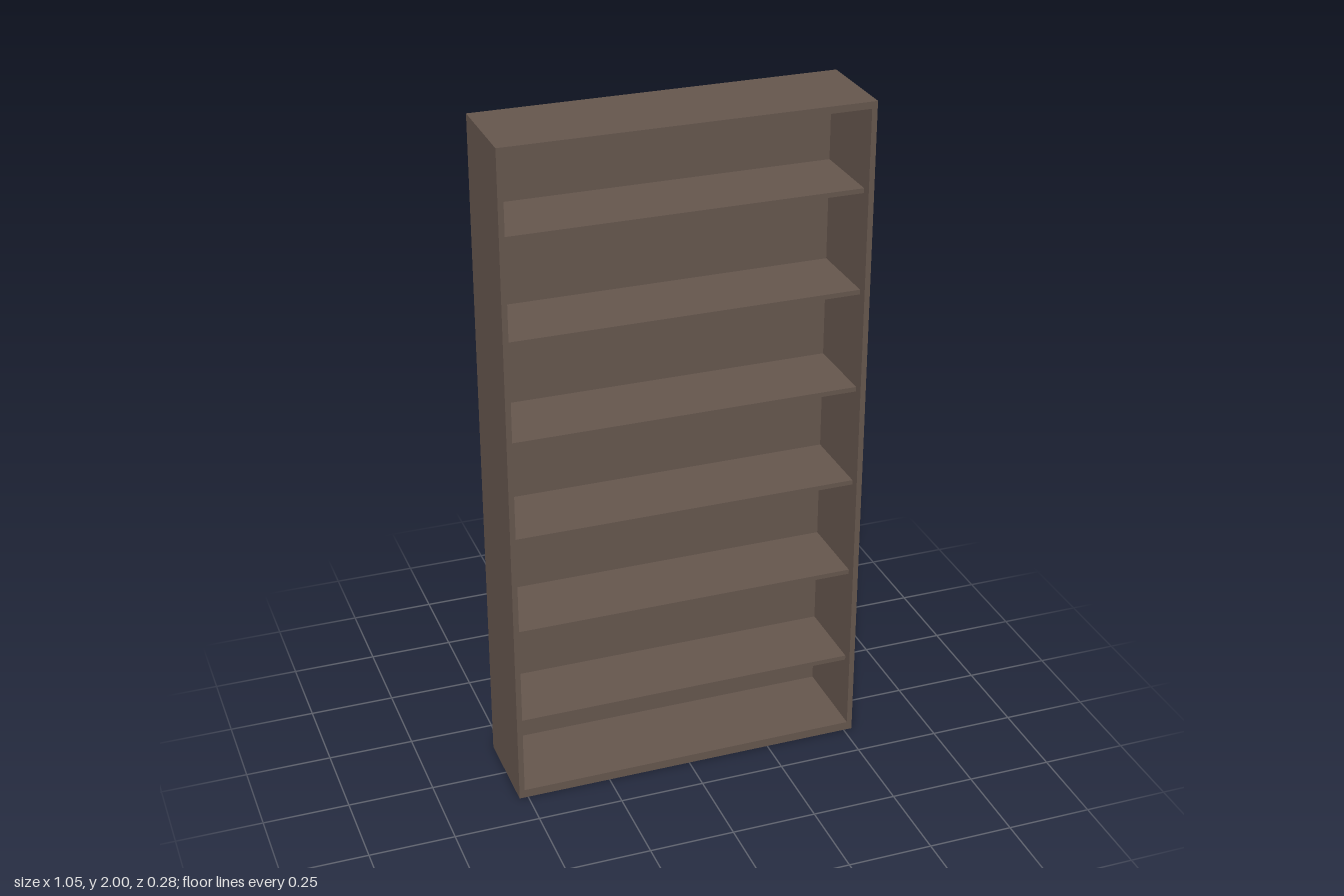
import * as THREE from 'three';

const W = 1.052, H = 2, D = 0.277;                    // overall size
const SIDE = 0.016, TOP = 0.02, BOTTOM = 0.026, BACK = 0.01;
const SHELF = 0.014, SETBACK = 0.03;

export function createModel() {
  const bookcase = new THREE.Group();
  bookcase.name = 'bookcase';
  const wood = new THREE.MeshStandardMaterial({ color: 0x65564d });

  const board = (name, w, h, d, x, y, z) => {
    const mesh = new THREE.Mesh(new THREE.BoxGeometry(w, h, d), wood);
    mesh.name = name;
    mesh.position.set(x, y, z);
    bookcase.add(mesh);
  };

  const innerW = W - 2 * SIDE;

  // Outer case
  for (const [name, s] of [['leftSide', 1], ['rightSide', -1]])
    board(name, SIDE, H, D, s * (W - SIDE) / 2, H / 2, 0);
  board('topBoard', innerW, TOP, D, 0, H - TOP / 2, 0);
  board('bottomBoard', innerW, BOTTOM, D, 0, BOTTOM / 2, 0);
  board('backPanel', innerW, H - TOP - BOTTOM, BACK, 0, (H - TOP + BOTTOM) / 2, (BACK - D) / 2);

  // Six evenly spaced shelves, set back from the front edge
  const shelfD = D - BACK - SETBACK;
  for (let i = 0; i < 6; i++)
    board('shelf' + (i + 1), innerW, SHELF, shelfD, 0, 0.24 + i * 0.2995, (BACK - SETBACK) / 2);

  return bookcase;
}
